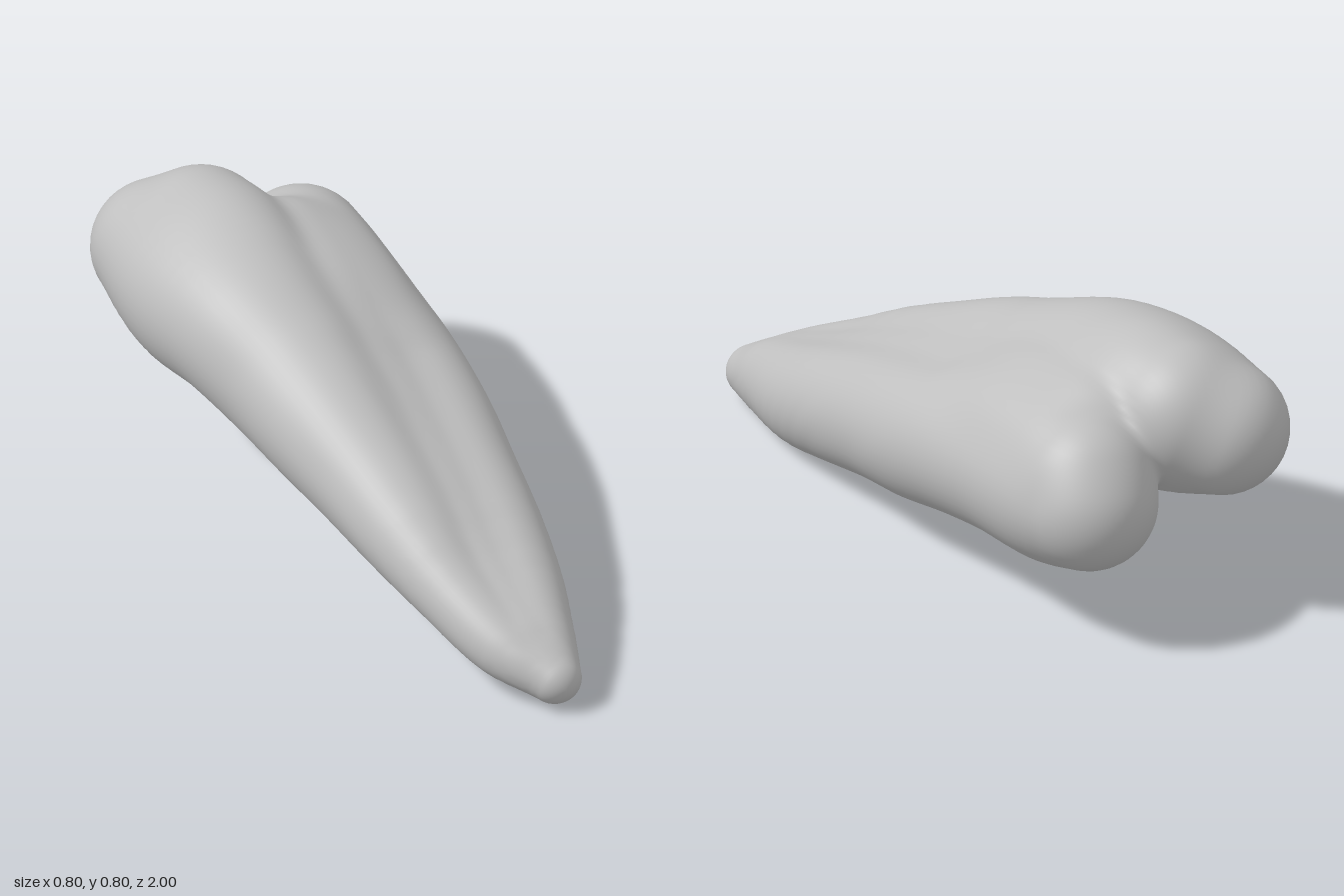
import * as THREE from 'three';
import { mergeVertices } from 'three/addons/utils/BufferGeometryUtils.js';

// Centre lines of the swellings, from back to front: x, y, z, radius
const upperLobe = [
  [-0.195, 0.55, -0.815, 0.184], [-0.17, 0.535, -0.6, 0.229], [-0.15, 0.53, -0.4, 0.22],
  [-0.11, 0.473, -0.2, 0.208], [-0.095, 0.422, 0, 0.188], [-0.075, 0.36, 0.2, 0.163],
  [-0.06, 0.295, 0.4, 0.137], [-0.04, 0.222, 0.6, 0.104], [0.02, 0.137, 0.8, 0.089],
  [0.095, 0.085, 0.932, 0.061],
];
const lowerLobe = [
  [0.2, 0.415, -0.75, 0.188], [0.182, 0.402, -0.6, 0.218], [0.192, 0.387, -0.4, 0.205],
  [0.195, 0.36, -0.2, 0.2], [0.19, 0.315, 0, 0.194], [0.175, 0.27, 0.2, 0.18],
  [0.165, 0.215, 0.4, 0.164], [0.145, 0.155, 0.6, 0.145], [0.115, 0.112, 0.8, 0.111],
  [0.115, 0.079, 0.93, 0.066],
];
// Rounded tops of the two lobes
const upperCrest = [
  [-0.11, 0.595, -0.73, 0.201], [-0.105, 0.582, -0.6, 0.22], [-0.1, 0.545, -0.4, 0.205],
  [-0.09, 0.475, -0.2, 0.195],
];
const lowerCrest = [
  [0.185, 0.47, -0.715, 0.188], [0.17, 0.475, -0.6, 0.193], [0.165, 0.455, -0.4, 0.19],
  [0.165, 0.395, -0.2, 0.185],
];
// Fill between the lobes, above and below
const saddle = [
  [0.075, 0.515, -0.6, 0.198], [0.065, 0.485, -0.4, 0.2], [0.045, 0.415, -0.2, 0.193],
  [0.045, 0.36, 0, 0.181], [0.048, 0.308, 0.2, 0.162], [0.05, 0.25, 0.4, 0.142],
  [0.055, 0.187, 0.6, 0.117], [0.07, 0.126, 0.8, 0.095],
];
const belly = [[0.005, 0.462, -0.5, 0.196], [0.015, 0.45, -0.35, 0.2], [0.04, 0.41, -0.2, 0.195]];
// Inner line from which the skin is pushed outward
const core = [
  [0.01, 0.48, -0.6], [0.02, 0.46, -0.4], [0.05, 0.365, 0], [0.05, 0.255, 0.4],
  [0.07, 0.165, 0.7], [0.107, 0.08, 0.92],
];

const curveOf = (rows) => new THREE.CatmullRomCurve3(rows.map((r) => new THREE.Vector3(r[0], r[1], r[2])));

// Smooth chain of spheres along a centre line
function makeChain(rows) {
  const path = curveOf(rows);
  const radii = curveOf(rows.map((r, i) => [r[3], i * 0.2, 0]));
  const count = (rows.length - 1) * 6;
  return Array.from({ length: count + 1 }, (_, i) => ({
    p: path.getPoint(i / count), r: radii.getPoint(i / count).x,
  }));
}

// Signed distance to a chain, treating each link as a tapered capsule
function chainDistance(chain, q) {
  let best = Infinity;
  for (let i = 0; i < chain.length - 1; i++) {
    const a = chain[i], b = chain[i + 1];
    const dx = b.p.x - a.p.x, dy = b.p.y - a.p.y, dz = b.p.z - a.p.z;
    const ex = q.x - a.p.x, ey = q.y - a.p.y, ez = q.z - a.p.z;
    const t = Math.min(1, Math.max(0, (ex * dx + ey * dy + ez * dz) / (dx * dx + dy * dy + dz * dz)));
    const gx = ex - t * dx, gy = ey - t * dy, gz = ez - t * dz;
    const d = Math.sqrt(gx * gx + gy * gy + gz * gz) - (a.r + (b.r - a.r) * t);
    if (d < best) best = d;
  }
  return best;
}

// Soft union of two distances
function blend(a, b, k) {
  const h = Math.max(k - Math.abs(a - b), 0) / k;
  return Math.min(a, b) - h * h * k * 0.25;
}

function buildBody() {
  const [upper, lower, upperTop, lowerTop, middle, under] =
    [upperLobe, lowerLobe, upperCrest, lowerCrest, saddle, belly].map(makeChain);

  // Blend is tight at the back cleft and the tip, loose in the middle
  const distance = (q) => {
    const k = 0.03 + 0.05 * Math.max(0, 1 - (q.z / 0.85) ** 2);
    const upperPart = blend(chainDistance(upper, q), chainDistance(upperTop, q), 0.035);
    const lowerPart = blend(chainDistance(lower, q), chainDistance(lowerTop, q), 0.02);
    const fill = Math.min(chainDistance(middle, q), chainDistance(under, q));
    return blend(blend(upperPart, lowerPart, k), fill, k * 0.6);
  };

  // Rings: back cap, straight flank, front cap; each has an origin and a tilt
  const rings = [], axis = curveOf(core);
  const backSteps = 36, flankSteps = 64, frontSteps = 12;
  for (let i = 0; i < backSteps; i++) rings.push([axis.getPoint(0), -Math.PI / 2 * (1 - i / backSteps)]);
  for (let i = 0; i < flankSteps; i++) rings.push([axis.getPoint(i / flankSteps), 0]);
  for (let i = 0; i <= frontSteps; i++) rings.push([axis.getPoint(1), Math.PI / 2 * i / frontSteps]);

  // Push every ring vertex outward until it meets the blended surface
  const sides = 80, positions = [], index = [];
  const q = new THREE.Vector3(), dir = new THREE.Vector3();
  rings.forEach(([o, tilt], i) => {
    const c = Math.cos(tilt);
    for (let j = 0; j < sides; j++) {
      const angle = j / sides * Math.PI * 2;
      dir.set(c * Math.cos(angle), c * Math.sin(angle), Math.sin(tilt));
      let near = 0, far = 0.7;
      for (let s = 0; s < 16; s++) {
        const mid = (near + far) / 2;
        if (distance(q.copy(o).addScaledVector(dir, mid)) < 0) near = mid;
        else far = mid;
      }
      q.copy(o).addScaledVector(dir, near);
      positions.push(q.x, q.y, q.z);
      if (i < rings.length - 1) {
        const a = i * sides + j, b = i * sides + (j + 1) % sides;
        index.push(a, b, a + sides, b, b + sides, a + sides);
      }
    }
  });

  const geometry = new THREE.BufferGeometry();
  geometry.setAttribute('position', new THREE.Float32BufferAttribute(positions, 3));
  geometry.setIndex(index);
  const skin = mergeVertices(geometry, 1e-5);
  skin.computeVertexNormals();
  return skin;
}

export function createModel() {
  const grey = new THREE.MeshStandardMaterial({ color: 0xbfbfbf });
  grey.name = 'light grey';
  const body = new THREE.Mesh(buildBody(), grey);
  body.name = 'twoLobedBody';
  const model = new THREE.Group();
  model.name = 'twoLobedForm';
  model.add(body);
  return model;
}
